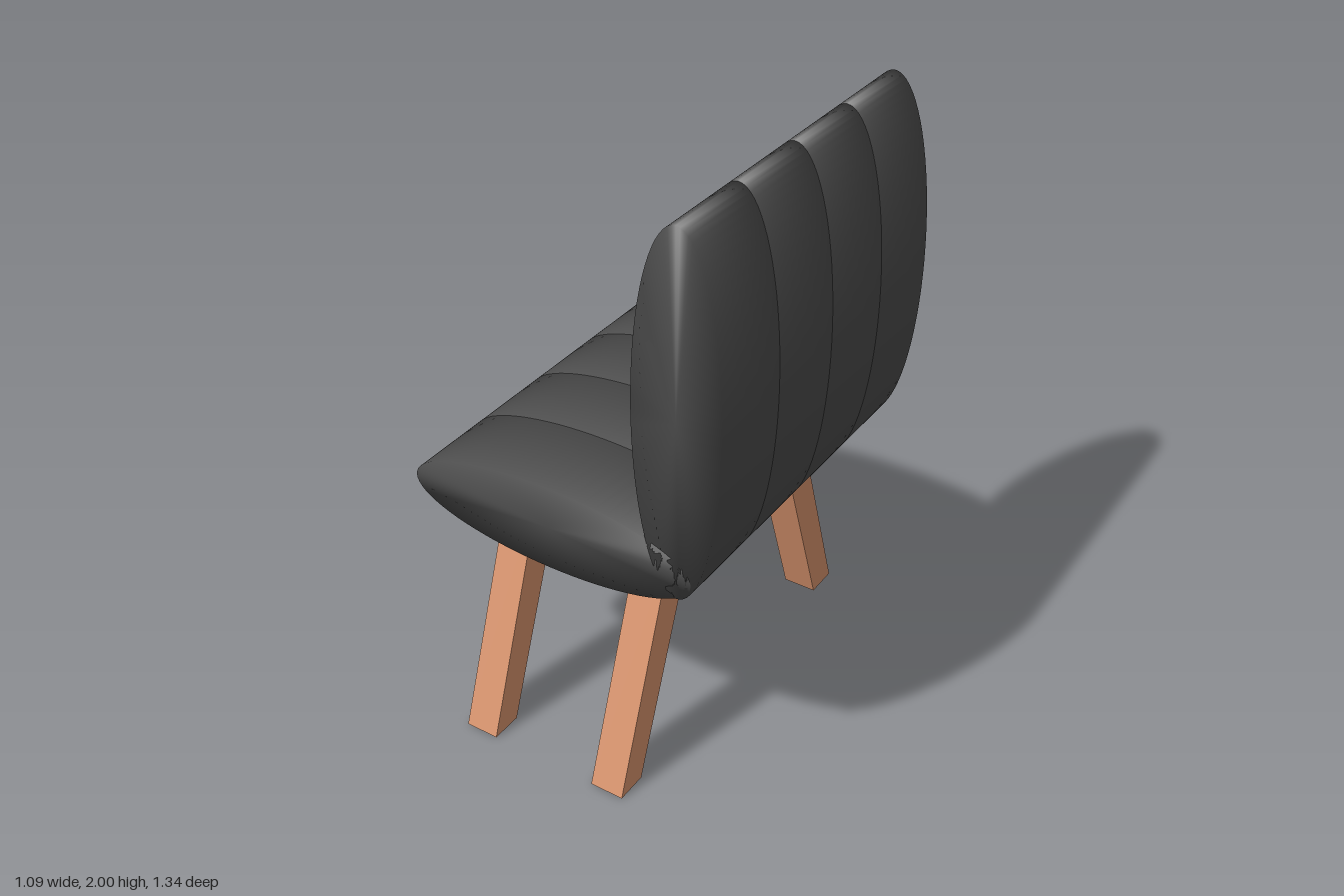
import * as THREE from 'three';
import { mergeVertices } from 'three/addons/utils/BufferGeometryUtils.js';

const fabric = new THREE.MeshStandardMaterial({ color: 0x4a4a4a });
const wood = new THREE.MeshStandardMaterial({ color: 0xd8946e });
const metal = new THREE.MeshStandardMaterial({ color: 0x8c8c8c });

const Z0 = -0.575, PAD = 0.294, PADS = 4;
const buttonZ = [Z0 + PAD, Z0 + 3 * PAD];
const buttonY = [1.42, 1.78];

// One upholstered channel: an elliptical slab with normals softened over its rim
function padGeometry(rx, ry, cx, cy, z, dimpled) {
  let g = new THREE.CylinderGeometry(1, 1, PAD, 72, 1);
  g.rotateX(Math.PI / 2);
  g.scale(rx, ry, 1);
  g.translate(cx, cy, z);
  g.deleteAttribute('normal');
  g.deleteAttribute('uv');
  g = mergeVertices(g, 1e-4);
  if (dimpled) {
    // Pull the seam inward around each button
    const p = g.attributes.position;
    for (let i = 0; i < p.count; i++) {
      if (p.getX(i) > cx - 0.02) continue;
      for (const bz of buttonZ) {
        if (Math.abs(p.getZ(i) - bz) > 0.01) continue;
        for (const by of buttonY) {
          const d = (p.getY(i) - by) / 0.07;
          p.setX(i, p.getX(i) + 0.016 * Math.exp(-d * d));
        }
      }
    }
  }
  g.computeVertexNormals();
  return g;
}

function cushion(name, rx, ry, cx, cy, dimpled) {
  const group = new THREE.Group();
  group.name = name;
  for (let i = 0; i < PADS; i++) {
    const z = Z0 + PAD * (i + 0.5);
    const pad = new THREE.Mesh(padGeometry(rx, ry, cx, cy, z, dimpled), fabric);
    pad.name = name + 'Channel';
    group.add(pad);
  }
  return group;
}

// Splayed leg: side outline in (z, y), extruded along x
function leg(x, inner, outer, side) {
  const top = 0.84, width = 0.115;
  const pts = [[inner, 0], [outer, 0], [0.373, top], [0.247, top]];
  const shape = new THREE.Shape(pts.map(([z, y]) => new THREE.Vector2(-z * side, y)));
  const g = new THREE.ExtrudeGeometry(shape, { depth: width, bevelEnabled: false });
  g.translate(0, 0, -width / 2);
  g.rotateY(Math.PI / 2); // shape x becomes -z
  g.translate(x, 0, 0);
  const mesh = new THREE.Mesh(g, wood);
  mesh.name = 'leg';
  return mesh;
}

export function createModel() {
  const model = new THREE.Group();
  model.name = 'chair';

  model.add(cushion('seat', 0.495, 0.145, -0.05, 0.885, false));
  model.add(cushion('backrest', 0.145, 0.59, 0.395, 1.41, true));

  // Buttons on the backrest seams
  for (const z of buttonZ) {
    for (const y of buttonY) {
      const x = 0.395 - 0.145 * Math.sqrt(1 - ((y - 1.41) / 0.59) ** 2) + 0.012;
      const button = new THREE.Mesh(new THREE.SphereGeometry(0.028, 20, 14), metal);
      button.scale.x = 0.5;
      button.position.set(x, y, z);
      button.name = 'button';
      model.add(button);
    }
  }

  // Four square legs splayed along the width of the seat
  const legs = new THREE.Group();
  legs.name = 'legs';
  for (const x of [-0.307, 0.183]) {
    legs.add(leg(x, 0.56, 0.668, 1));
    legs.add(leg(x, 0.54, x < 0 ? 0.668 : 0.655, -1));
  }
  model.add(legs);
  return model;
}
